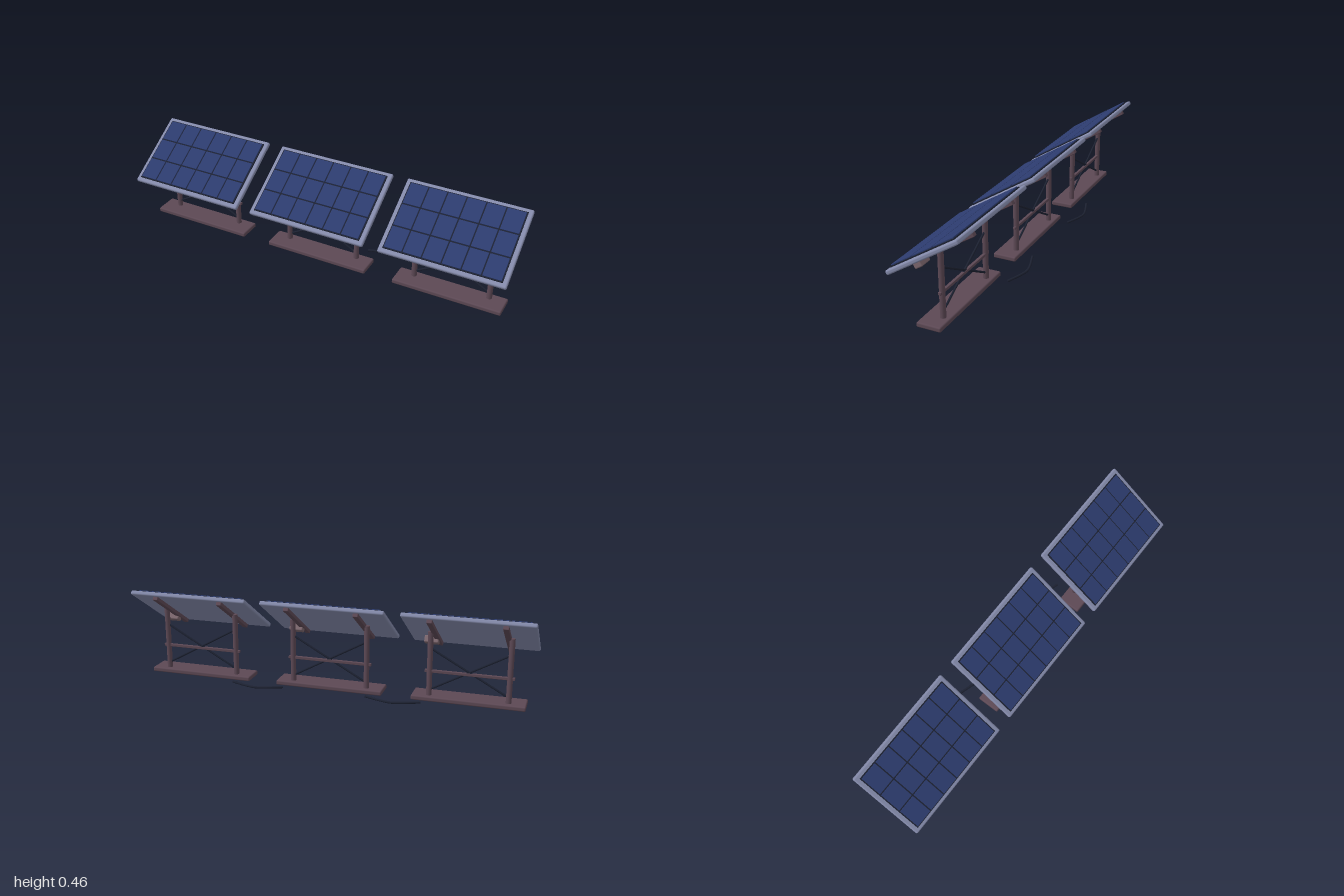
import * as THREE from 'three';
import { RoundedBoxGeometry } from 'three/addons/geometries/RoundedBoxGeometry.js';

const material = (name, color) => {
  const m = new THREE.MeshStandardMaterial({ color });
  m.name = name;
  return m;
};

export function createModel() {
  const frameGrey = material('blue grey metal', 0x8389a9);
  const steel = material('plum steel', 0x5c4854);
  const cellBlue = material('cell blue', 0x2c3b6e);
  const dark = material('dark rubber', 0x1c2131);
  const boxMauve = material('mauve plastic', 0x7b666d);

  const add = (parent, name, geometry, mat, x = 0, y = 0, z = 0) => {
    const mesh = new THREE.Mesh(geometry, mat);
    mesh.name = name;
    mesh.position.set(x, y, z);
    parent.add(mesh);
    return mesh;
  };
  const rounded = (w, h, d, r) => new RoundedBoxGeometry(w, h, d, 3, r);

  const pitch = 0.692, postX = 0.19, postZ = -0.022;

  // Tilted panel: frame slab, backing, cell grid, underside rails, junction box
  function buildPanel() {
    const panel = new THREE.Group();
    panel.name = 'tiltedPanel';
    panel.position.set(0, 0.348, 0);
    panel.rotation.x = THREE.MathUtils.degToRad(32);
    add(panel, 'frame', rounded(0.616, 0.022, 0.402, 0.008), frameGrey);
    add(panel, 'cellBacking', new THREE.BoxGeometry(0.572, 0.008, 0.36), dark, 0, 0.0125, 0);
    const cell = rounded(0.0885, 0.007, 0.112, 0.001);
    for (let row = -1; row <= 1; row++) {
      for (let col = 0; col < 6; col++) {
        add(panel, 'solarCell', cell, cellBlue, (col - 2.5) * 0.0945, 0.018, row * 0.119);
      }
    }
    for (const side of [-1, 1]) {
      add(panel, 'supportRail', rounded(0.026, 0.02, 0.38, 0.003), steel, side * 0.172, -0.0185, 0);
    }
    add(panel, 'junctionBox', rounded(0.07, 0.036, 0.04, 0.006), boxMauve, 0.2, -0.0285, 0.096);
    return panel;
  }

  // Stand: base plate, two posts, crossbar and diagonal braces
  function buildStand() {
    const stand = new THREE.Group();
    stand.name = 'stand';
    add(stand, 'basePlate', rounded(0.546, 0.024, 0.117, 0.007), steel, 0, 0.012, 0.002);
    for (const side of [-1, 1]) {
      add(stand, 'post', new THREE.CylinderGeometry(0.0135, 0.0135, 0.322, 16), steel, side * postX, 0.18, postZ);
      const from = new THREE.Vector3(-side * postX, 0.05, postZ);
      const to = new THREE.Vector3(side * postX, 0.26, postZ);
      const brace = add(stand, 'diagonalBrace',
        new THREE.CylinderGeometry(0.005, 0.005, from.distanceTo(to), 10), dark);
      brace.position.copy(from).lerp(to, 0.5);
      brace.quaternion.setFromUnitVectors(new THREE.Vector3(0, 1, 0), to.sub(from).normalize());
    }
    add(stand, 'crossbar', rounded(0.426, 0.014, 0.014, 0.002), steel, 0, 0.145, postZ);
    return stand;
  }

  const model = new THREE.Group();
  model.name = 'solarArray';
  for (const i of [-1, 0, 1]) {
    const unit = new THREE.Group();
    unit.name = 'solarUnit';
    unit.position.x = i * pitch;
    unit.add(buildPanel(), buildStand());
    model.add(unit);
  }

  // Ground cables linking neighbouring units
  for (const side of [-1, 1]) {
    const path = new THREE.CatmullRomCurve3([
      new THREE.Vector3(-0.135, 0.016, -0.118),
      new THREE.Vector3(-0.045, 0.014, -0.147),
      new THREE.Vector3(0, 0.013, -0.154),
      new THREE.Vector3(0.045, 0.014, -0.147),
      new THREE.Vector3(0.135, 0.016, -0.118),
    ]);
    add(model, 'groundCable', new THREE.TubeGeometry(path, 24, 0.006, 8), dark, side * pitch / 2, 0, 0);
  }
  return model;
}
